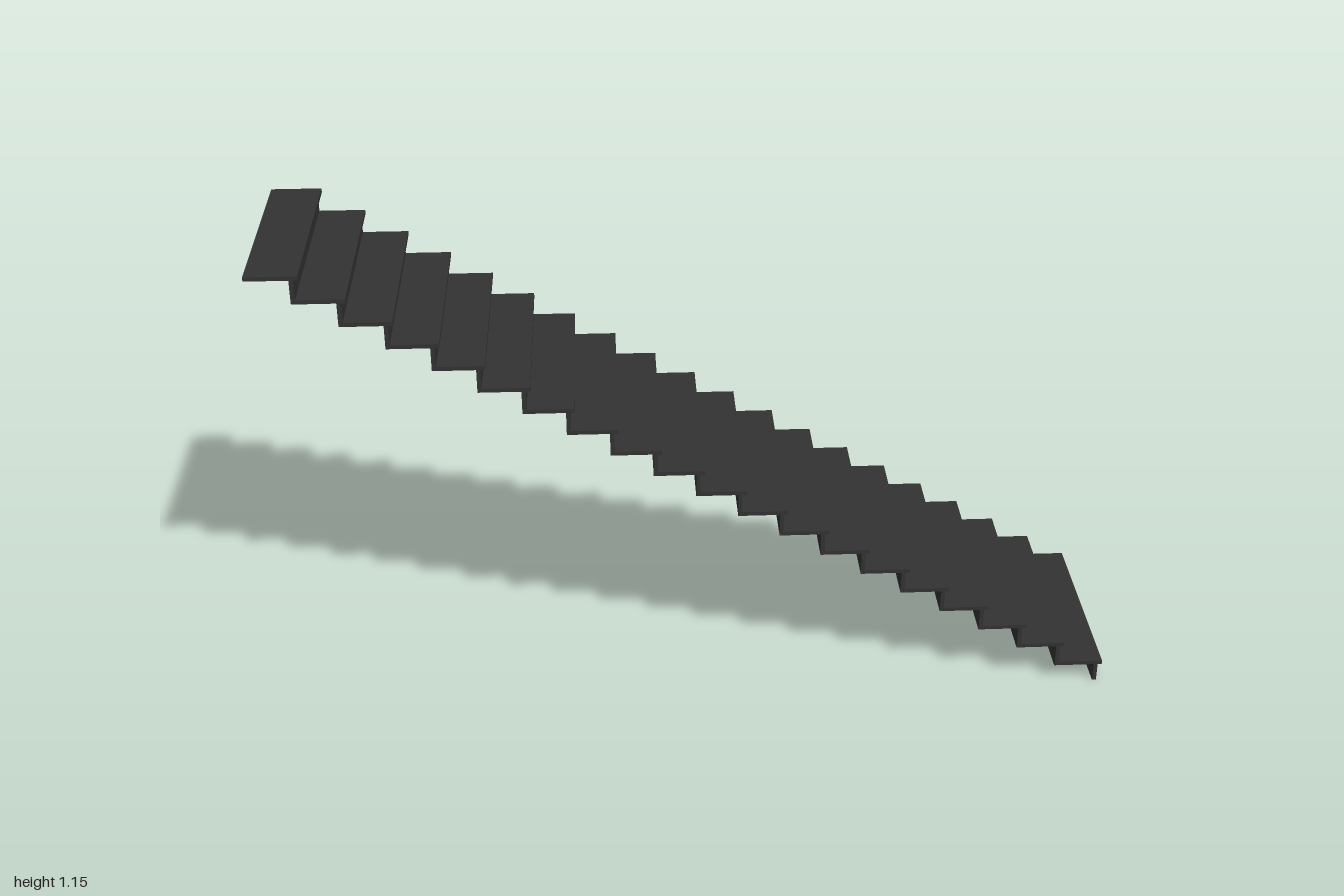
import * as THREE from 'three';

// Straight open flight: thin treads with a small nosing over thin risers.
export function createModel() {
  const group = new THREE.Group();
  group.name = 'staircase';
  const material = new THREE.MeshStandardMaterial({ color: 0x333333 });

  const steps = 20, rise = 1.155 / steps, width = 0.49;
  const thickness = 0.01, depth = 0.119, nosing = 0.01;
  const going = (2 - depth) / (steps - 1);

  const treadGeometry = new THREE.BoxGeometry(depth, thickness, width);
  const riserGeometry = new THREE.BoxGeometry(thickness, rise - thickness, width);

  const add = (name, geometry, x, y) => {
    const mesh = new THREE.Mesh(geometry, material);
    mesh.name = name;
    mesh.position.set(x, y, 0);
    group.add(mesh);
  };

  // Climb from the right end (+x) to the left end (-x)
  for (let i = 0; i < steps; i++) {
    const front = 1 - i * going;
    const top = (i + 1) * rise;
    add(`tread${i + 1}`, treadGeometry, front - depth / 2, top - thickness / 2);
    add(`riser${i + 1}`, riserGeometry, front - nosing - thickness / 2, top - (rise + thickness) / 2);
  }
  return group;
}
